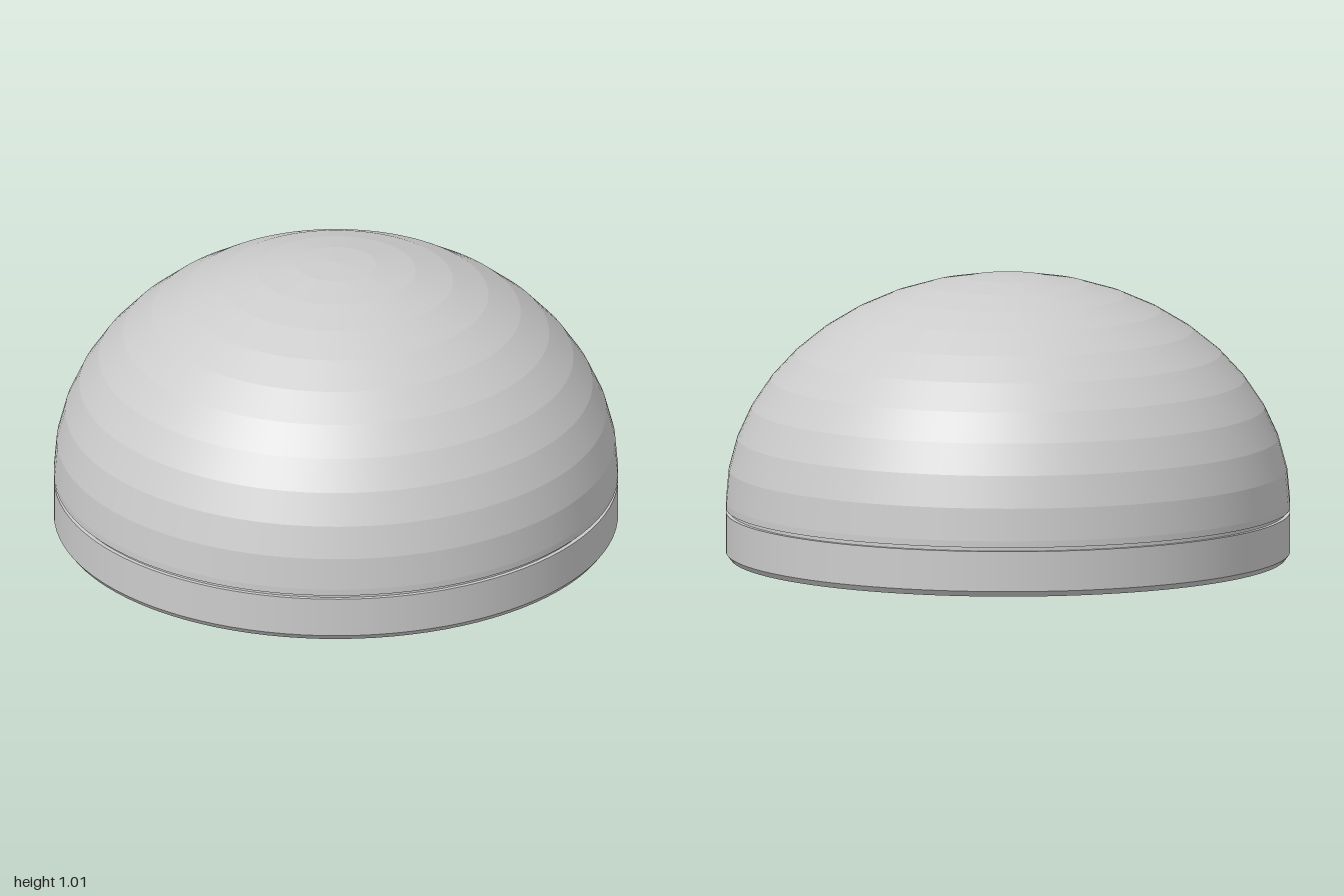
import * as THREE from 'three';
import { mergeGeometries } from 'three/addons/utils/BufferGeometryUtils.js';

const material = new THREE.MeshStandardMaterial({ color: 0xcccccc });

// Revolves a profile as separate bands: smooth around, creased between bands.
function bandedLathe(name, profile) {
  const points = profile.map(([r, y]) => new THREE.Vector2(r, y));
  const bands = points.slice(1).map((p, i) => {
    const band = new THREE.LatheGeometry([points[i], p], 96);
    band.normalizeNormals();
    return band;
  });
  const mesh = new THREE.Mesh(mergeGeometries(bands), material);
  mesh.name = name;
  return mesh;
}

export function createModel() {
  const group = new THREE.Group();
  group.name = 'domedKnob';

  // Base disc with chamfered lower edge and a blind bore from below
  group.add(bandedLathe('base', [
    [0.095, 0], [0.985, 0], [1, 0.02], [1, 0.163], [0.985, 0.163],
  ]));
  group.add(bandedLathe('bore', [[0, 0.4], [0.095, 0.4], [0.095, 0]]));

  // Narrow recessed neck between base and dome
  group.add(bandedLathe('groove', [[0.985, 0.163], [0.985, 0.177]]));

  // Dome: short straight rim, then a flattened quarter round in 11 bands
  const steps = 11, rimY = 0.2, rise = 0.81;
  const dome = [[0.985, 0.177], [1, 0.177]];
  for (let i = 0; i <= steps; i++) {
    const a = (i / steps) * Math.PI / 2;
    dome.push([i === steps ? 0 : Math.cos(a), rimY + rise * Math.sin(a)]);
  }
  group.add(bandedLathe('dome', dome));

  return group;
}
